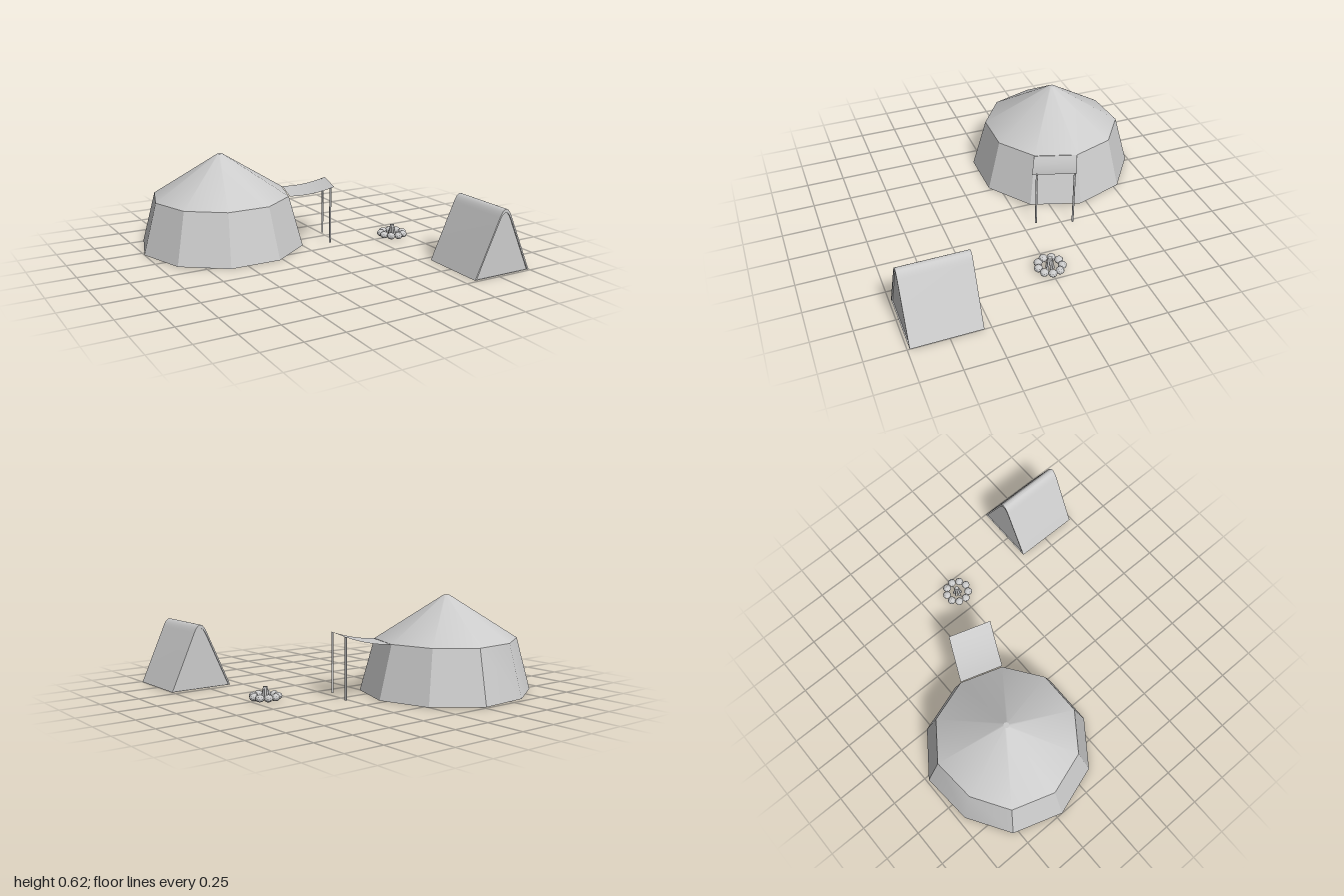
import * as THREE from 'three';
import { toCreasedNormals } from 'three/addons/utils/BufferGeometryUtils.js';

const GREY = new THREE.MeshStandardMaterial({ color: 0xcccccc, side: THREE.DoubleSide });
const FACETED = new THREE.MeshStandardMaterial({ color: 0xcccccc, flatShading: true });

function add(parent, name, geometry, material = GREY) {
  const mesh = new THREE.Mesh(geometry, material);
  mesh.name = name;
  parent.add(mesh);
  return mesh;
}

// Cylinder running between two points
function rod(parent, name, a, b, radius, sides = 8) {
  const dir = b.clone().sub(a);
  const mesh = add(parent, name, new THREE.CylinderGeometry(radius, radius, dir.length(), sides));
  mesh.position.copy(a).lerp(b, 0.5);
  mesh.quaternion.setFromUnitVectors(new THREE.Vector3(0, 1, 0), dir.normalize());
  return mesh;
}

// Ten-sided round tent, open underneath
function roundTent() {
  const profile = [[0.555, 0], [0.462, 0.34], [0.018, 0.62], [0, 0.62]].map(p => new THREE.Vector2(...p));
  const geo = new THREE.LatheGeometry(profile, 10, Math.PI / 2);
  const pos = geo.attributes.position;
  // One back corner is pulled in slightly
  for (let i = 0; i < pos.count; i++) {
    const x = pos.getX(i), z = pos.getZ(i);
    if (z < -0.4 && x < -0.1 && x > -0.25) pos.setZ(i, z * 0.95);
  }
  const group = new THREE.Group();
  group.name = 'roundTent';
  add(group, 'roundTentCanvas', toCreasedNormals(geo, Math.PI / 6));
  group.position.set(-0.445, 0, -0.457);
  return group;
}

// Sagging awning sheet on two poles
function awning() {
  const group = new THREE.Group();
  group.name = 'awning';
  const innerBack = new THREE.Vector3(0.02, 0, -0.455);
  const along = new THREE.Vector3(0.271, 0, 0.125);
  const across = new THREE.Vector3(-0.087, 0, 0.275);
  const geo = new THREE.PlaneGeometry(1, 1, 8, 1);
  const pos = geo.attributes.position;
  for (let i = 0; i < pos.count; i++) {
    const t = pos.getX(i) + 0.5, s = 0.5 - pos.getY(i);
    const p = innerBack.clone().addScaledVector(along, t).addScaledVector(across, s);
    pos.setXYZ(i, p.x, 0.34 + 0.06 * t * t, p.z);
  }
  geo.computeVertexNormals();
  add(group, 'awningSheet', geo);
  for (const [x, z] of [[0.197, -0.093], [0.27, -0.325]]) {
    rod(group, 'awningPole', new THREE.Vector3(x, 0, z), new THREE.Vector3(x, 0.392, z), 0.007);
  }
  return group;
}

// Ridge outline with a rounded top; inset shrinks it evenly
function ridgeShape(inset) {
  const slope = 2.21, peak = 0.47 - inset * 2.4, half = peak / slope;
  const bend = peak - 0.1, dx = 0.1 / slope;
  const s = new THREE.Shape();
  s.moveTo(-half, 0);
  s.lineTo(half, 0);
  s.lineTo(dx, bend);
  s.quadraticCurveTo(0, peak, -dx, bend);
  s.closePath();
  return s;
}

// Ridge tent: outer cloth with slightly recessed end panels
function ridgeTent() {
  const group = new THREE.Group();
  group.name = 'ridgeTent';
  const cloth = ridgeShape(0);
  const opening = ridgeShape(0.01).getPoints(10).map(p => new THREE.Vector2(p.x, p.y + 0.0005));
  cloth.holes.push(new THREE.Path(opening));
  const options = depth => ({ depth, bevelEnabled: false, curveSegments: 10 });
  const outer = new THREE.ExtrudeGeometry(cloth, options(0.44));
  outer.translate(0, 0, -0.22);
  add(group, 'ridgeTentCloth', toCreasedNormals(outer, 0.6));
  const inner = new THREE.ExtrudeGeometry(ridgeShape(0.0095), options(0.425));
  inner.translate(0, 0, -0.2125);
  add(group, 'ridgeTentEndPanels', toCreasedNormals(inner, 0.6));
  group.position.set(0.787, 0, 0.765);
  return group;
}

// Ring of stones around a small stack of sticks
function campfire() {
  const group = new THREE.Group();
  group.name = 'campfire';
  const count = 9;
  for (let i = 0; i < count; i++) {
    const a = (i / count) * Math.PI * 2 + 0.15;
    const stone = add(group, 'fireStone', new THREE.IcosahedronGeometry(0.028, 1), FACETED);
    stone.position.set(Math.cos(a) * 0.077, 0.024, Math.sin(a) * 0.077);
    stone.scale.set(1, 0.86, 1);
    stone.rotation.y = i * 1.7;
  }
  for (let i = 0; i < 6; i++) {
    const a = (i / 6) * Math.PI * 2;
    const at = (r, y) => new THREE.Vector3(Math.cos(a) * r, y, Math.sin(a) * r);
    rod(group, 'fireStick', at(0.024, 0.003), at(0.006, 0.084), 0.008, 6);
  }
  group.position.set(0.648, 0, -0.005);
  return group;
}

export function createModel() {
  const camp = new THREE.Group();
  camp.name = 'camp';
  camp.add(roundTent(), awning(), ridgeTent(), campfire());
  return camp;
}
